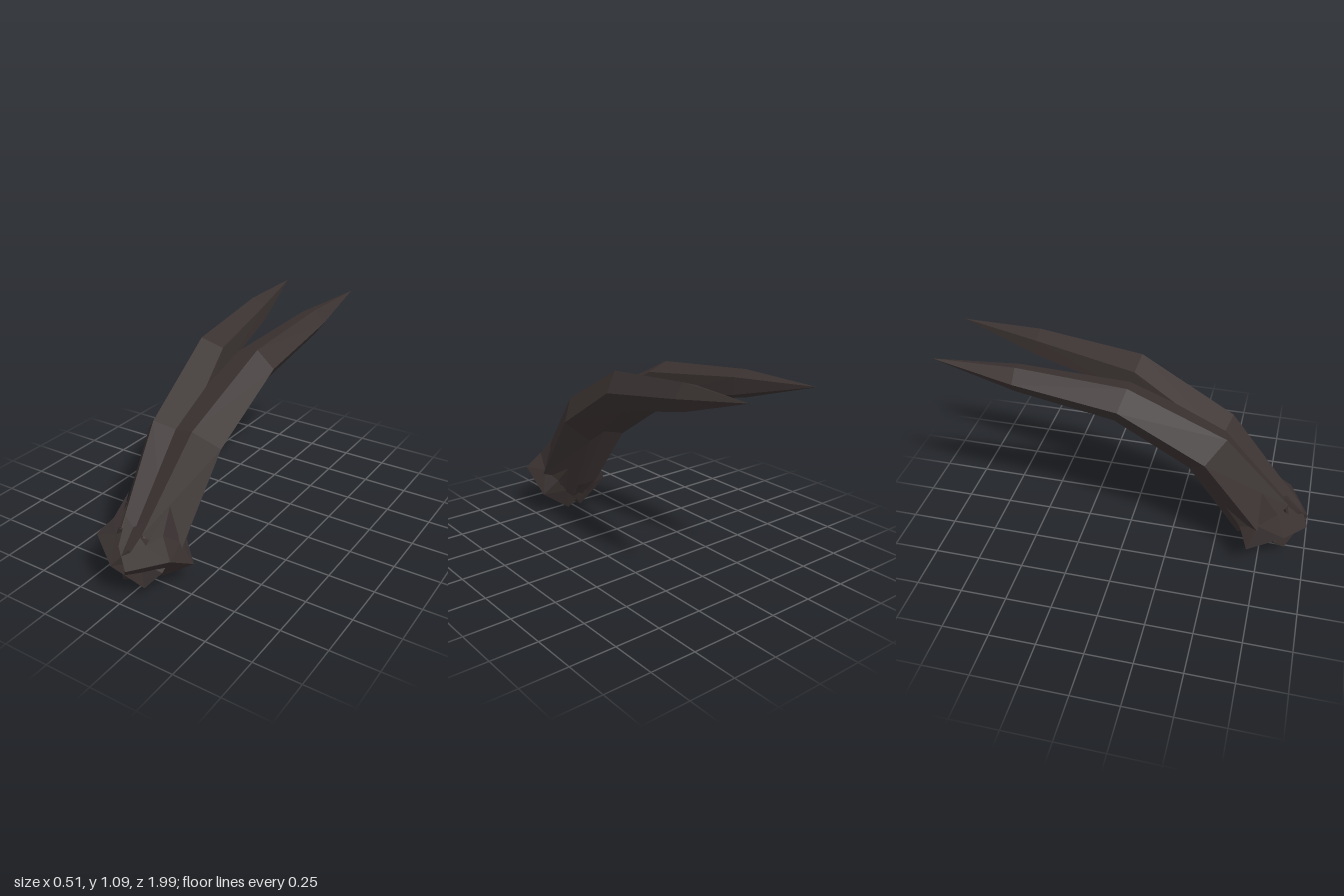
import * as THREE from 'three';

const darkHorn = new THREE.MeshStandardMaterial({ color: 0x3a3231, flatShading: true, side: THREE.DoubleSide });
darkHorn.name = 'dark horn';

// Faceted mesh from triangles of Vector3; side -1 mirrors it across x
function facetMesh(name, tris, side) {
  const pts = tris.flatMap(([a, b, c]) => (side > 0 ? [a, b, c] : [a, c, b]))
    .map((p) => new THREE.Vector3(p.x * side, p.y, p.z));
  const geo = new THREE.BufferGeometry().setFromPoints(pts);
  geo.computeVertexNormals();
  const mesh = new THREE.Mesh(geo, darkHorn);
  mesh.name = name;
  return mesh;
}

// Curved five-sided horn: centre x, y, z, radius, then the section's up direction (y, z)
function hornTriangles() {
  const sections = [
    [0.005, 0.23, 0.75, 0.186, 0.68, 0.73],
    [0.07, 0.657, 0.435, 0.15, 0.75, 0.66],
    [0.137, 0.93, -0.015, 0.112, 0.944, 0.33],
    [0.181, 1.02, -0.555, 0.0745, 0.998, 0.07],
    [0.215, 1.09, -0.99, 0, 1, 0],
  ];
  const rings = sections.map(([x, y, z, r, uy, uz]) =>
    Array.from({ length: 5 }, (_, j) => {
      const a = (j * Math.PI * 2) / 5;
      const v = r * Math.sin(a);
      return new THREE.Vector3(x + r * Math.cos(a), y + v * uy, z + v * uz);
    }));
  const tris = [];
  for (let i = 0; i < rings.length - 1; i++) {
    for (let j = 0; j < 5; j++) {
      const k = (j + 1) % 5;
      tris.push([rings[i][j], rings[i + 1][j], rings[i][k]]);
      if (sections[i + 1][3] > 0) tris.push([rings[i][k], rings[i + 1][j], rings[i + 1][k]]);
    }
  }
  return tris;
}

// Pentagonal base with a pointed tooth rising from every corner
function baseTriangles() {
  const V = (x, y, z) => new THREE.Vector3(x, y, z);
  const rim = [
    V(0.045, 0.203, 0.995), V(0.225, 0.26, 0.88), V(0.225, 0.135, 0.69),
    V(0.045, 0.002, 0.7), V(-0.065, 0.047, 0.885),
  ];
  const centre = rim.reduce((s, p) => s.add(p), V(0, 0, 0)).multiplyScalar(0.2);
  const shift = (x, y, z) => (p) => p.clone().add(V(x, y, z));
  const shoulder = rim.map(shift(-0.075, 0.09, -0.05));
  const tip = rim.map(shift(-0.1, 0.2, -0.145));
  const valley = rim.map((p, i) => p.clone().lerp(rim[(i + 1) % 5], 0.5)).map(shift(-0.045, 0.075, -0.05));
  const tris = [];
  for (let i = 0; i < 5; i++) {
    const n = (i + 1) % 5;
    tris.push(
      [centre, rim[n], rim[i]],
      [rim[i], rim[n], valley[i]],
      [rim[i], valley[i], shoulder[i]],
      [rim[n], shoulder[n], valley[i]],
      [shoulder[i], valley[i], tip[i]],
      [valley[i], shoulder[n], tip[n]],
    );
  }
  return tris;
}

export function createModel() {
  const model = new THREE.Group();
  model.name = 'pairOfHorns';
  for (const side of [1, -1]) {
    const half = new THREE.Group();
    half.name = side > 0 ? 'leftHorn' : 'rightHorn';
    half.add(facetMesh('hornShaft', hornTriangles(), side));
    half.add(facetMesh('hornBase', baseTriangles(), side));
    model.add(half);
  }
  return model;
}
